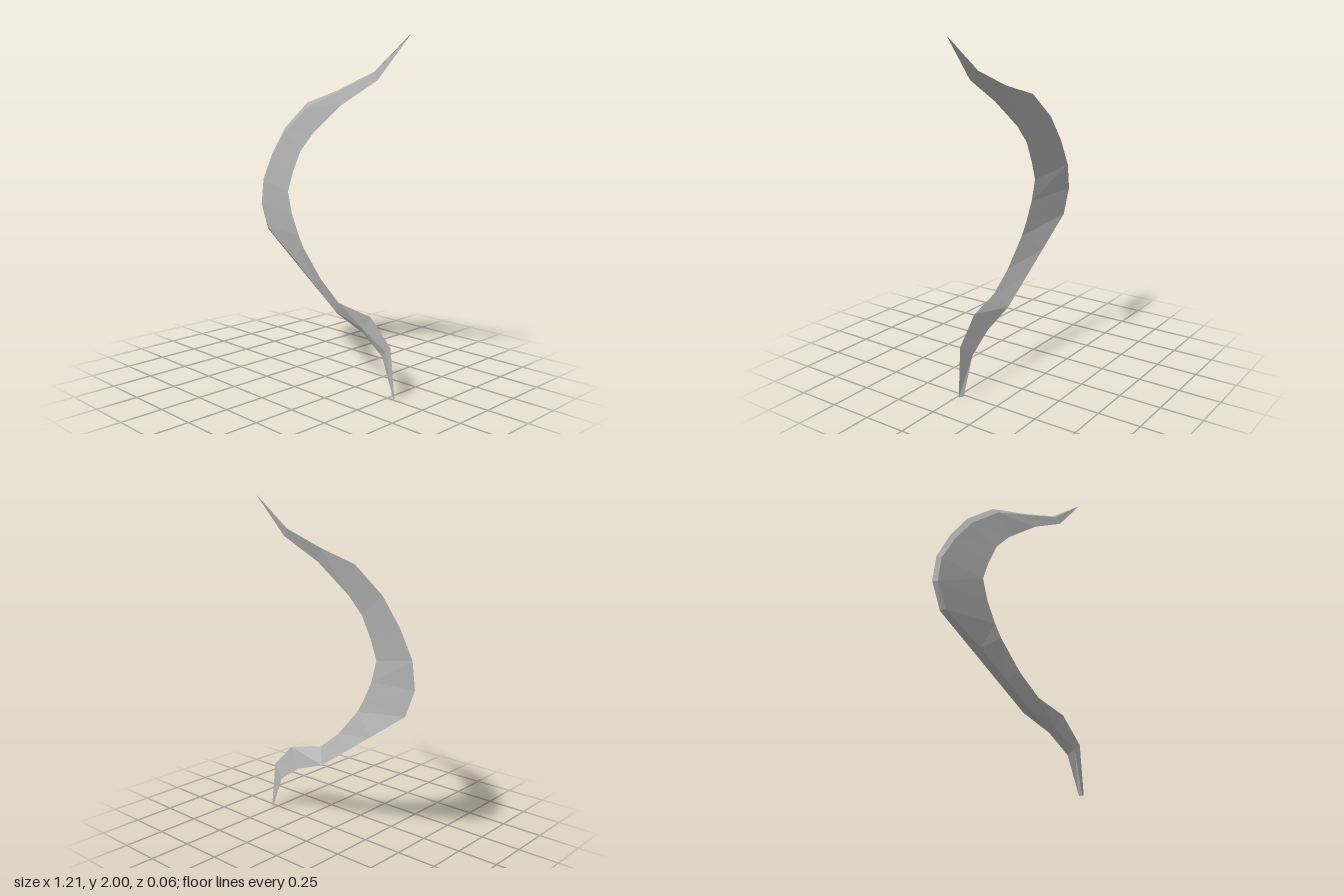
import * as THREE from 'three';

// Three long edges of the thin, triangular-section curved blade, tip to base.
const outerBack = [
  [0.6, 2, -0.03], [0.35, 1.815, -0.03], [0.08, 1.715, -0.02], [-0.18, 1.645, -0.03],
  [-0.38, 1.49, -0.03], [-0.5, 1.33, -0.03], [-0.59, 1.16, -0.03], [-0.61, 1, -0.03],
  [-0.55, 0.84, -0.03], [-0.3, 0.664, -0.03], [-0.12, 0.537, -0.03], [0.075, 0.4, -0.03],
  [0.28, 0.325, -0.03], [0.43, 0.22, -0.03], [0.515, 0, -0.03],
];
const outerFront = [
  [0.601, 1.999, -0.028], [0.36, 1.808, -0.02], [0.088, 1.705, -0.005], [-0.155, 1.618, -0.005],
  [-0.355, 1.465, -0.008], [-0.475, 1.315, -0.01], [-0.568, 1.155, -0.01], [-0.588, 1, -0.01],
  [-0.522, 0.85, -0.01], [-0.28, 0.69, -0.002], [-0.1, 0.56, 0], [0.09, 0.42, 0],
  [0.3, 0.36, -0.006], [0.47, 0.26, -0.01], [0.525, 0, -0.014],
];
const inner = [
  [0.602, 1.998, -0.03], [0.395, 1.768, -0.01], [0.14, 1.63, 0.014], [-0.09, 1.46, 0.018],
  [-0.19, 1.355, 0.021], [-0.255, 1.22, 0.025], [-0.295, 1.105, 0.027], [-0.26, 0.975, 0.028],
  [-0.2, 0.85, 0.029], [-0.155, 0.775, 0.03], [-0.005, 0.605, 0.029], [0.14, 0.49, 0.028],
  [0.368, 0.442, 0], [0.512, 0.293, -0.007], [0.54, 0, -0.014],
];

export function createModel() {
  const group = new THREE.Group();
  group.name = 'curvedHorn';
  const edges = [outerBack, outerFront, inner];
  const last = inner.length - 1;
  const positions = [];
  const triangle = (a, b, c) => positions.push(...a, ...b, ...c);

  // Skin the three sides between neighbouring edges
  edges.forEach((edge, k) => {
    const next = edges[(k + 1) % 3];
    for (let i = 0; i < last; i++) {
      triangle(edge[i], edge[i + 1], next[i]);
      triangle(edge[i + 1], next[i + 1], next[i]);
    }
  });
  // Close the tip and the base
  triangle(outerBack[0], outerFront[0], inner[0]);
  triangle(outerBack[last], inner[last], outerFront[last]);

  const geometry = new THREE.BufferGeometry();
  geometry.setAttribute('position', new THREE.Float32BufferAttribute(positions, 3));
  geometry.computeVertexNormals();

  const hornGrey = new THREE.MeshStandardMaterial({ color: 0xb4b4b4, flatShading: true });
  hornGrey.name = 'hornGrey';
  const horn = new THREE.Mesh(geometry, hornGrey);
  horn.name = 'horn';
  group.add(horn);
  return group;
}
